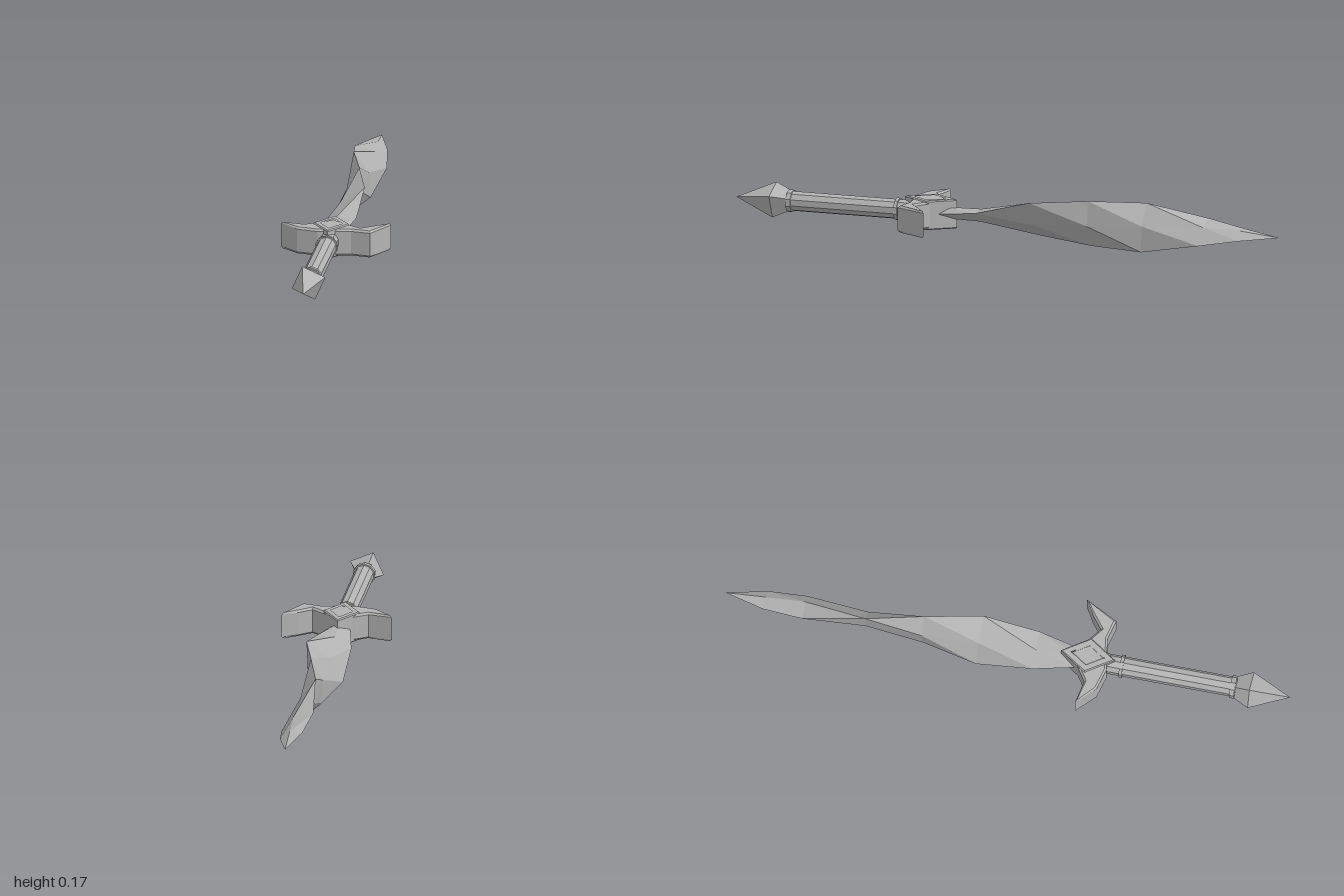
import * as THREE from 'three';

const CX = -0.016, CY = 0.09; // long axis of the sword

// Lofts four-sided diamond sections [z, half width, half thickness, angle in degrees], z falling
function loft(sections) {
  const pos = [], index = [];
  sections.forEach(([z, w, t, deg]) => {
    const a = THREE.MathUtils.degToRad(deg), c = Math.cos(a), s = Math.sin(a);
    for (const [u, v] of [[w, 0], [0, t], [-w, 0], [0, -t]]) {
      pos.push(CX + u * c - v * s, CY + u * s + v * c, z);
    }
  });
  for (let k = 0; k < sections.length - 1; k++) {
    for (let i = 0; i < 4; i++) {
      const a = k * 4 + i, b = k * 4 + (i + 1) % 4;
      index.push(a, a + 4, b, b, a + 4, b + 4);
    }
  }
  const g = new THREE.BufferGeometry();
  g.setAttribute('position', new THREE.Float32BufferAttribute(pos, 3));
  g.setIndex(index);
  const flat = g.toNonIndexed();
  flat.computeVertexNormals();
  return flat;
}

const outline = pts => pts.map(([x, z]) => new THREE.Vector2(x, -z));

// Bevelled slab from an x/z outline, standing between two heights
function slab(pts, y0, y1, bevel, hole) {
  const shape = new THREE.Shape(outline(pts));
  if (hole) shape.holes.push(new THREE.Path(outline(hole)));
  const g = new THREE.ExtrudeGeometry(shape, {
    depth: y1 - y0 - 2 * bevel, bevelEnabled: bevel > 0, bevelThickness: bevel,
    bevelSize: bevel, bevelOffset: -bevel, bevelSegments: 1,
  });
  g.rotateX(-Math.PI / 2);
  g.translate(0, y0 + bevel, 0);
  return g;
}

const diamond = (w, h) => [[CX, 0.283 - h], [CX + w, 0.283], [CX, 0.283 + h], [CX - w, 0.283]];

export function createModel() {
  const group = new THREE.Group();
  const steel = new THREE.MeshStandardMaterial({ color: 0xb3b3b3, flatShading: true });
  steel.name = 'grey steel';
  const add = (name, geometry) => {
    const mesh = new THREE.Mesh(geometry, steel);
    mesh.name = name;
    group.add(mesh);
  };
  const rod = (name, z0, z1, r) => {
    const g = new THREE.CylinderGeometry(r, r, z1 - z0, 10);
    g.rotateX(Math.PI / 2);
    g.translate(CX, CY, (z0 + z1) / 2);
    add(name, g);
  };

  // Twisted blade
  add('blade', loft([
    [0.25, 0.035, 0.02, 0],
    [0.1, 0.066, 0.022, 17],
    [-0.1, 0.096, 0.026, 48],
    [-0.3, 0.085, 0.027, 78],
    [-0.5, 0.087, 0.025, 110],
    [-0.72, 0.068, 0.024, 146],
    [-0.86, 0.042, 0.016, 160],
    [-1, 0, 0, 170],
  ]));

  // Grip with a collar at each end
  rod('grip', 0.3, 0.81, 0.035);
  rod('frontCollar', 0.398, 0.41, 0.04);
  rod('rearCollar', 0.79, 0.807, 0.04);

  // Pointed four-sided pommel
  add('pommel', loft([
    [1, 0, 0, 21],
    [0.86, 0.063, 0.063, 21],
    [0.805, 0.038, 0.038, 21],
    [0.8, 0, 0, 21],
  ]));

  // Uneven guard wings
  add('rightWing', slab([
    [-0.01, 0.22], [-0.055, 0.25], [-0.11, 0.288], [-0.195, 0.272],
    [-0.13, 0.336], [-0.055, 0.356], [-0.01, 0.35],
  ], 0.04, 0.136, 0.007));
  add('leftWing', slab([
    [-0.02, 0.22], [-0.02, 0.35], [0.06, 0.338], [0.13, 0.355],
    [0.188, 0.24], [0.135, 0.272], [0.09, 0.308], [0.04, 0.27],
  ], 0.04, 0.136, 0.007));

  // Diamond boss: open frame around a slightly sunken core
  add('diamondFrame', slab(diamond(0.064, 0.096), 0.036, 0.14, 0.004, diamond(0.044, 0.066)));
  add('diamondCore', slab(diamond(0.039, 0.058), 0.039, 0.137, 0.003));
  return group;
}
